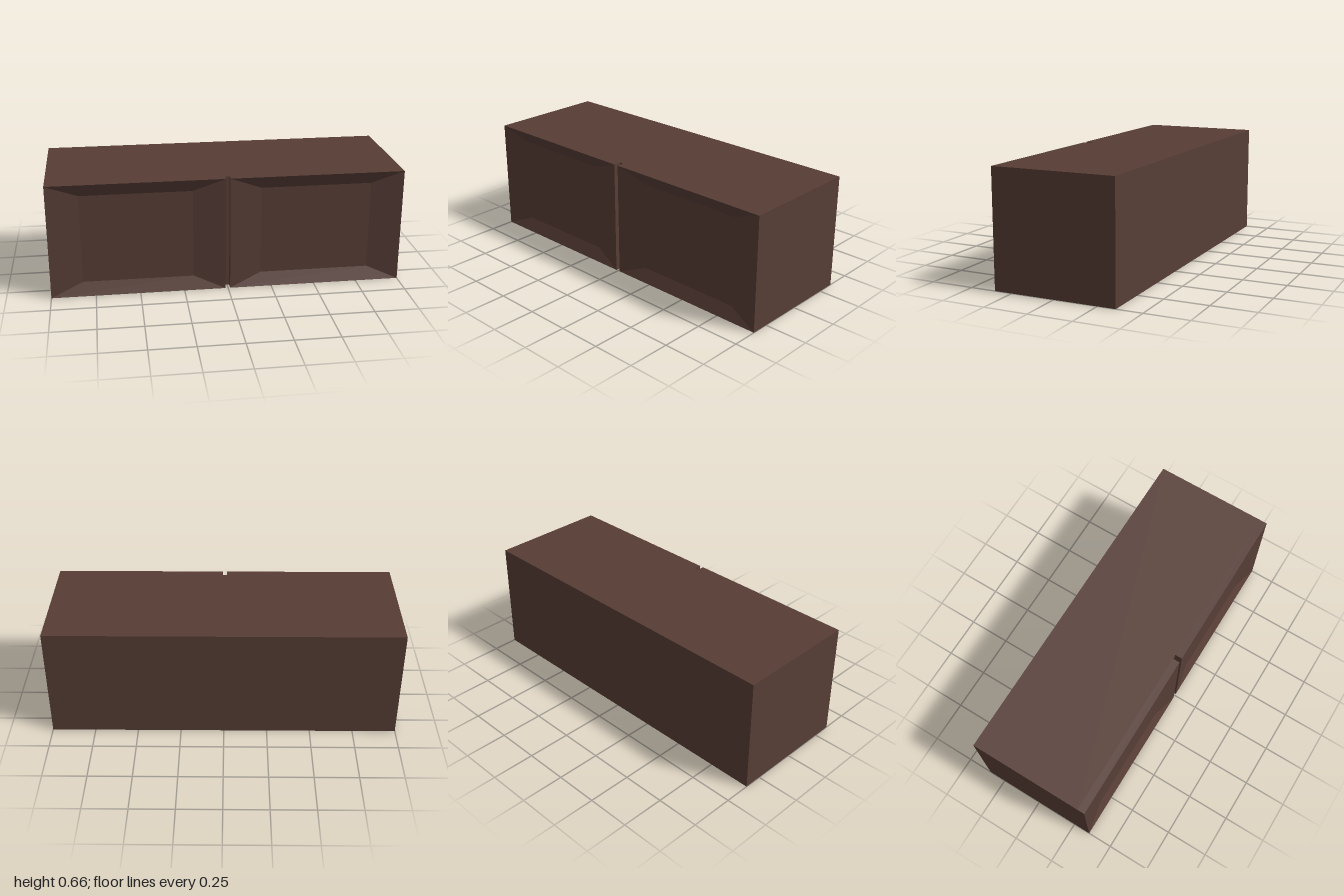
import * as THREE from 'three';

const HEIGHT = 0.662, BACK = -0.353, FRONT = 0.353, DOOR_BACK = 0.31;

// Rectangle of four corners, anticlockwise seen from the front
function ring(x0, x1, y0, y1, z) {
  return [[x0, y0, z], [x1, y0, z], [x1, y1, z], [x0, y1, z]];
}

// Door slab whose front slopes inward from its rim to a sunken flat panel
function doorGeometry(x0, x1) {
  const back = ring(x0, x1, 0, HEIGHT, DOOR_BACK);
  const rim = ring(x0, x1, 0, HEIGHT, FRONT);
  const panel = ring(x0 + 0.18, x1 - 0.18, 0.075, HEIGHT - 0.073, FRONT - 0.033);
  const positions = [];
  const quad = (a, b, c, d) => positions.push(...a, ...b, ...c, ...a, ...c, ...d);
  for (let i = 0; i < 4; i++) {
    const j = (i + 1) % 4;
    quad(back[i], back[j], rim[j], rim[i]);   // outer edge
    quad(rim[i], rim[j], panel[j], panel[i]); // sloping bevel
  }
  quad(...panel);
  quad(back[3], back[2], back[1], back[0]);
  const geometry = new THREE.BufferGeometry();
  geometry.setAttribute('position', new THREE.Float32BufferAttribute(positions, 3));
  geometry.computeVertexNormals();
  return geometry;
}

export function createModel() {
  const group = new THREE.Group();
  group.name = 'cabinet';
  const darkWood = new THREE.MeshStandardMaterial({ color: 0x573d36 });
  darkWood.name = 'darkWood';

  // Solid carcass behind the doors
  const depth = DOOR_BACK - BACK;
  const body = new THREE.Mesh(new THREE.BoxGeometry(2, HEIGHT, depth), darkWood);
  body.name = 'cabinetBody';
  body.position.set(0, HEIGHT / 2, BACK + depth / 2);
  group.add(body);

  // Two doors with a narrow gap between them
  for (const [name, x0, x1] of [['rightDoor', -1, -0.014], ['leftDoor', 0.012, 1]]) {
    const door = new THREE.Mesh(doorGeometry(x0, x1), darkWood);
    door.name = name;
    group.add(door);
  }
  return group;
}
